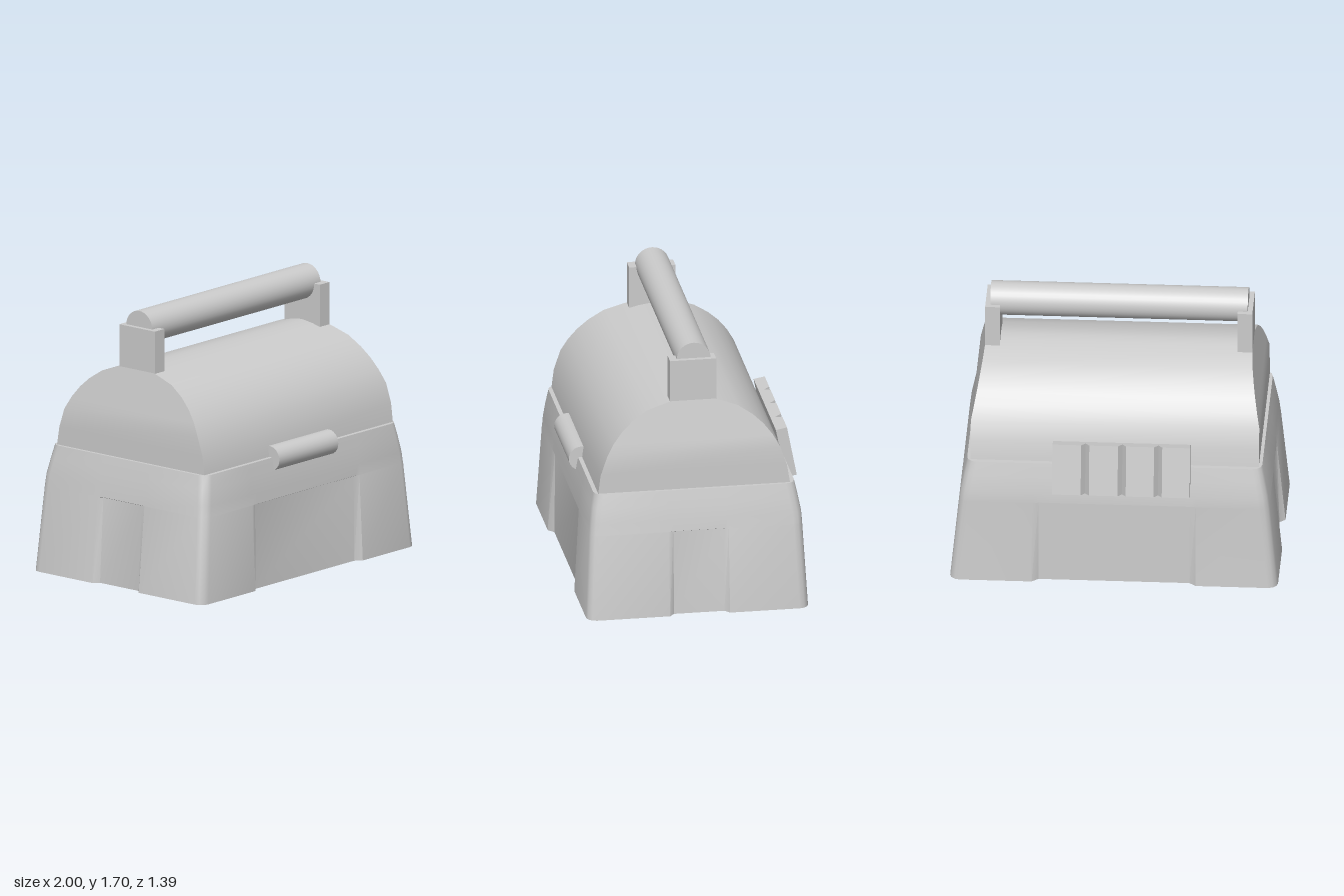
import * as THREE from 'three';
import { toCreasedNormals } from 'three/addons/utils/BufferGeometryUtils.js';

const material = new THREE.MeshStandardMaterial({ color: 0xcccccc });

function part(name, geometry, x = 0, y = 0, z = 0) {
  const mesh = new THREE.Mesh(geometry, material);
  mesh.name = name;
  mesh.position.set(x, y, z);
  return mesh;
}

// Skin stacked horizontal rings ({ y, points: [x, z] }) and cap both ends.
function loft(rings, crease) {
  const pos = [], index = [], n = rings[0].points.length;
  for (const { y, points } of rings) for (const [x, z] of points) pos.push(x, y, z);
  for (let i = 0; i < rings.length - 1; i++) {
    for (let j = 0; j < n; j++) {
      const a = i * n + j, b = i * n + (j + 1) % n;
      index.push(a, b, b + n, a, b + n, a + n);
    }
  }
  const top = (rings.length - 1) * n, c = rings.length * n;
  pos.push(0, rings[0].y, 0, 0, rings.at(-1).y, 0);
  for (let j = 0; j < n; j++) {
    const k = (j + 1) % n;
    index.push(c, k, j, c + 1, top + j, top + k);
  }
  const g = new THREE.BufferGeometry();
  g.setAttribute('position', new THREE.Float32BufferAttribute(pos, 3));
  g.setIndex(index);
  return toCreasedNormals(g, crease);
}

// Rounded rectangle with a shallow recess of depth d in each of its four walls.
function bodyOutline(hx, zf, zb, d) {
  const r = 0.06, points = [];
  const corner = (cx, cz, start) => {
    for (let i = 0; i <= 3; i++) {
      const a = start - i * Math.PI / 6;
      points.push([cx + r * Math.cos(a), cz + r * Math.sin(a)]);
    }
  };
  points.push([-0.5, zf], [-0.46, zf - d], [0.46, zf - d], [0.5, zf]);
  corner(hx - r, zf - r, Math.PI / 2);
  points.push([hx, 0.18], [hx - d, 0.15], [hx - d, -0.16], [hx, -0.19]);
  corner(hx - r, zb + r, 0);
  points.push([0.5, zb], [0.46, zb + d], [-0.46, zb + d], [-0.5, zb]);
  corner(-hx + r, zb + r, -Math.PI / 2);
  points.push([-hx, -0.19], [-hx + d, -0.16], [-hx + d, 0.15], [-hx, 0.18]);
  corner(-hx + r, zf - r, -Math.PI);
  return points;
}

export function createModel() {
  const group = new THREE.Group();
  group.name = 'toolbox';

  // Tapered lower box: y, half width, front z, back z, recess depth
  const body = [
    [0, 1, 0.69, -0.68, 0.035],
    [0.53, 0.947, 0.663, -0.652, 0.012],
    [0.535, 0.946, 0.662, -0.652, 0],
    [0.6, 0.938, 0.658, -0.647, 0],
    [0.7, 0.918, 0.645, -0.628, 0],
    [0.785, 0.9, 0.63, -0.61, 0],
  ].map(([y, ...o]) => ({ y, points: bodyOutline(...o) }));
  group.add(part('body', loft(body, 0.6)));

  // Barrel lid whose ends lean inward above the shoulder: y, front z, back z
  const lid = [
    [0.78, 0.605, -0.58], [0.9, 0.59, -0.56], [1.02, 0.55, -0.52],
    [1.1, 0.505, -0.475], [1.17, 0.45, -0.42], [1.23, 0.385, -0.355],
    [1.29, 0.295, -0.265], [1.33, 0.17, -0.15], [1.35, 0.09, -0.08], [1.36, 0.02, -0.02],
  ].map(([y, f, b]) => {
    const x = 0.88 - Math.max(0, y - 1.02) * 0.205;
    return { y, points: [[-x, f], [x, f], [x, b], [-x, b]] };
  });
  group.add(part('lid', loft(lid, 0.6)));

  // Handle posts and grip
  for (const [side, name] of [[1, 'leftHandlePost'], [-1, 'rightHandlePost']]) {
    group.add(part(name, new THREE.BoxGeometry(0.09, 0.4, 0.285), side * 0.77, 1.4, 0.008));
  }
  const grip = new THREE.CylinderGeometry(0.105, 0.105, 1.57, 32).rotateZ(Math.PI / 2);
  group.add(part('handleGrip', grip, 0, 1.595, 0));

  // Rounded front catch
  const latch = new THREE.CylinderGeometry(0.077, 0.077, 0.55, 24).rotateZ(Math.PI / 2);
  group.add(part('latch', latch, 0, 0.777, 0.61));

  // Tilted rear hinge with three V grooves on its outer face
  const s = new THREE.Shape();
  s.moveTo(-0.465, 0);
  s.lineTo(-0.465, 0.07);
  for (const x of [-0.27, -0.05, 0.175]) {
    s.lineTo(x - 0.025, 0.07);
    s.lineTo(x, 0.03);
    s.lineTo(x + 0.025, 0.07);
  }
  s.lineTo(0.375, 0.07);
  s.lineTo(0.375, 0);
  const hingeShape = new THREE.ExtrudeGeometry(s, { depth: 0.32, bevelEnabled: false });
  const hinge = part('hinge', hingeShape.rotateX(-Math.PI / 2), 0, 0.61, -0.635);
  hinge.rotation.x = 0.19;
  group.add(hinge);

  return group;
}
